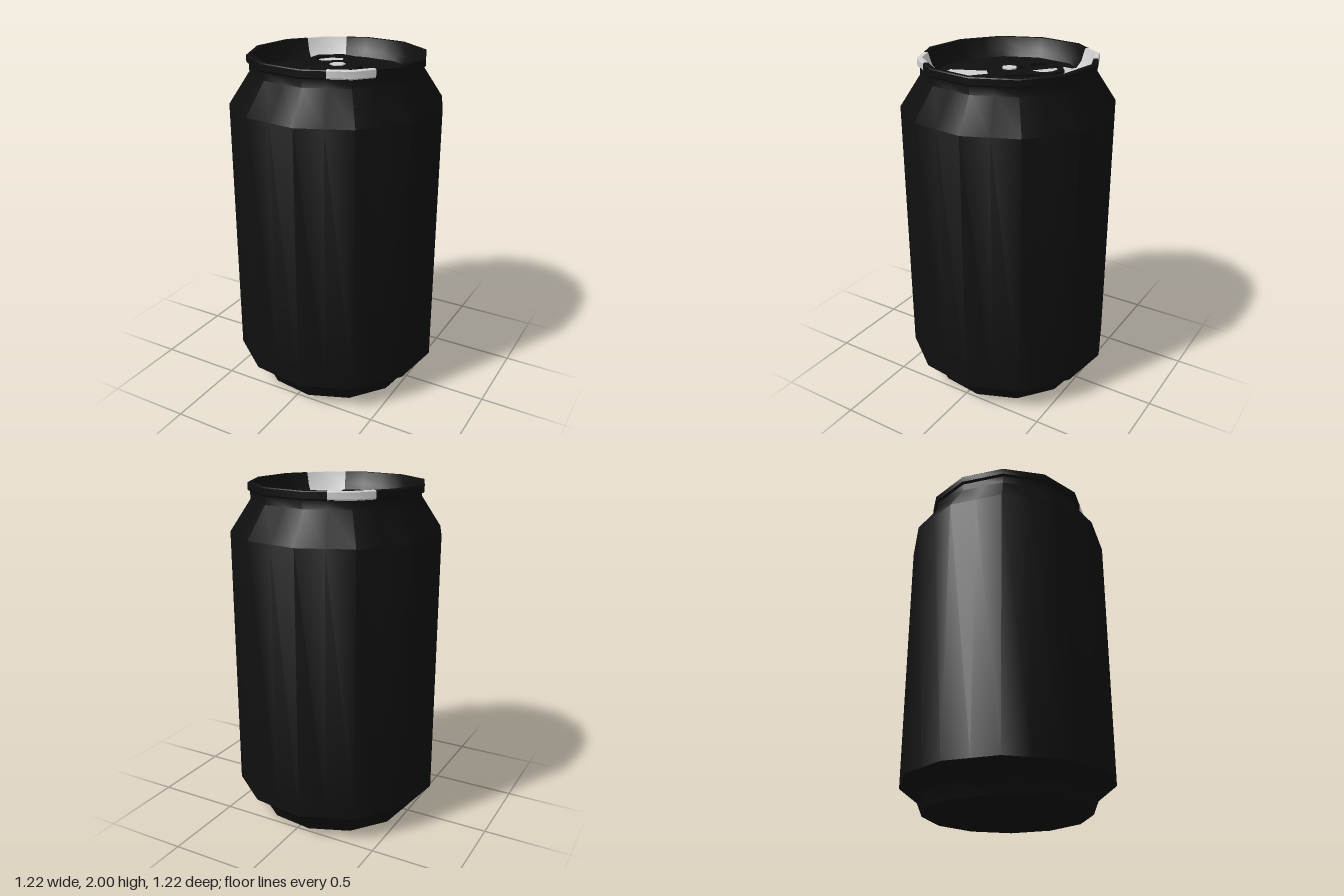
import * as THREE from 'three';
import { toCreasedNormals } from 'three/addons/utils/BufferGeometryUtils.js';

const rad = THREE.MathUtils.degToRad;
const black = new THREE.MeshStandardMaterial({ name: 'black', color: 0x0f0f0f });
const silver = new THREE.MeshStandardMaterial({ name: 'silver', color: 0xd0d0d0 });

// Twelve-sided turned shell; every side is halved so a colour can end mid-side.
function turned(name, profile, silverHalves = []) {
  const points = profile.map(([r, y]) => new THREE.Vector2(r, y));
  const lathe = new THREE.LatheGeometry(points, 24, rad(7.5));
  const pos = lathe.attributes.position;
  const flat = Math.cos(rad(15));
  for (let i = 0; i < pos.count; i++) {
    if (Math.floor(i / points.length) % 2) pos.setXYZ(i, pos.getX(i) * flat, pos.getY(i), pos.getZ(i) * flat);
  }
  const perHalf = (points.length - 1) * 6;
  for (let i = 0; i < 24; i++) lathe.addGroup(i * perHalf, perHalf, silverHalves.includes(i) ? 1 : 0);
  const mesh = new THREE.Mesh(toCreasedNormals(lathe, 0.6), [black, silver]);
  mesh.name = name;
  return mesh;
}

// Flat horizontal plate cut from an outline, with optional holes.
function plate(name, outline, holes, y, thickness, material) {
  const toPoints = (list) => list.map(([u, v]) => new THREE.Vector2(u, v));
  const shape = new THREE.Shape(toPoints(outline));
  holes.forEach((hole) => shape.holes.push(new THREE.Path(toPoints(hole))));
  const geometry = new THREE.ExtrudeGeometry(shape, { depth: thickness, bevelEnabled: false });
  geometry.rotateX(-Math.PI / 2).translate(0, y, 0);
  const mesh = new THREE.Mesh(geometry, material);
  mesh.name = name;
  return mesh;
}

// Completes an outline symmetric about the u axis.
const mirrored = (half) => [...half, ...half.filter(([, v]) => v !== 0).reverse().map(([u, v]) => [u, -v])];

export function createModel() {
  const can = new THREE.Group();
  can.name = 'drinkCan';

  // Body with domed underside, foot, straight wall, shoulder and neck
  can.add(turned('body', [
    [0.012, 0.165], [0.22, 0.14], [0.36, 0.08], [0.43, 0.012], [0.455, 0], [0.48, 0],
    [0.51, 0.075], [0.535, 0.095], [0.617, 0.16], [0.617, 1.725], [0.497, 1.905], [0.497, 1.95], [0.508, 1.955],
  ]));

  // Lid: rolled rim, countersink and panel, with two opposite silver wedges
  can.add(turned('lid', [
    [0.505, 1.952], [0.511, 1.96], [0.511, 1.995], [0.506, 2], [0.482, 2], [0.46, 1.93],
    [0.43, 1.892], [0.4, 1.89], [0.355, 1.902], [0.01, 1.902],
  ], [1, 2, 13, 14]));

  // Opening and pull tab lie along the wedge axis
  const opener = new THREE.Group();
  opener.name = 'opener';
  opener.rotation.y = -rad(52.5);
  can.add(opener);

  // Mouth panel, silver in the middle
  opener.add(plate('mouthCentre', [[0, 0], [0.33, -0.088], [0.355, 0], [0.33, 0.088]], [], 1.9, 0.007, silver));
  for (const s of [1, -1]) {
    const side = [[0, 0], [0.33, 0.088], [0.304, 0.18], [0.195, 0.253], [0.025, 0.195]];
    opener.add(plate('mouthSide', side.map(([u, v]) => [u, v * s]), [], 1.9, 0.007, black));
  }

  // Pull tab with finger hole and a small slot behind the rivet
  const tab = mirrored([[0.125, 0.065], [0.04, 0.135], [-0.22, 0.137], [-0.3, 0.075]]);
  const fingerHole = mirrored([[-0.125, 0.07], [-0.16, 0.1], [-0.22, 0.1], [-0.262, 0.06], [-0.282, 0]]);
  const slot = mirrored([[-0.056, 0.03], [-0.09, 0.03]]);
  opener.add(plate('pullTab', tab, [fingerHole, slot], 1.911, 0.016, black));

  // Rivet
  const rivet = new THREE.Mesh(new THREE.CylinderGeometry(0.045, 0.045, 0.034, 6), silver);
  rivet.name = 'rivet';
  rivet.position.y = 1.917;
  can.add(rivet);

  // Small silver spot at the top of the underside dome
  const spot = new THREE.Mesh(new THREE.CircleGeometry(0.016, 6).rotateX(Math.PI / 2), silver);
  spot.name = 'baseSpot';
  spot.position.y = 0.163;
  can.add(spot);

  return can;
}
